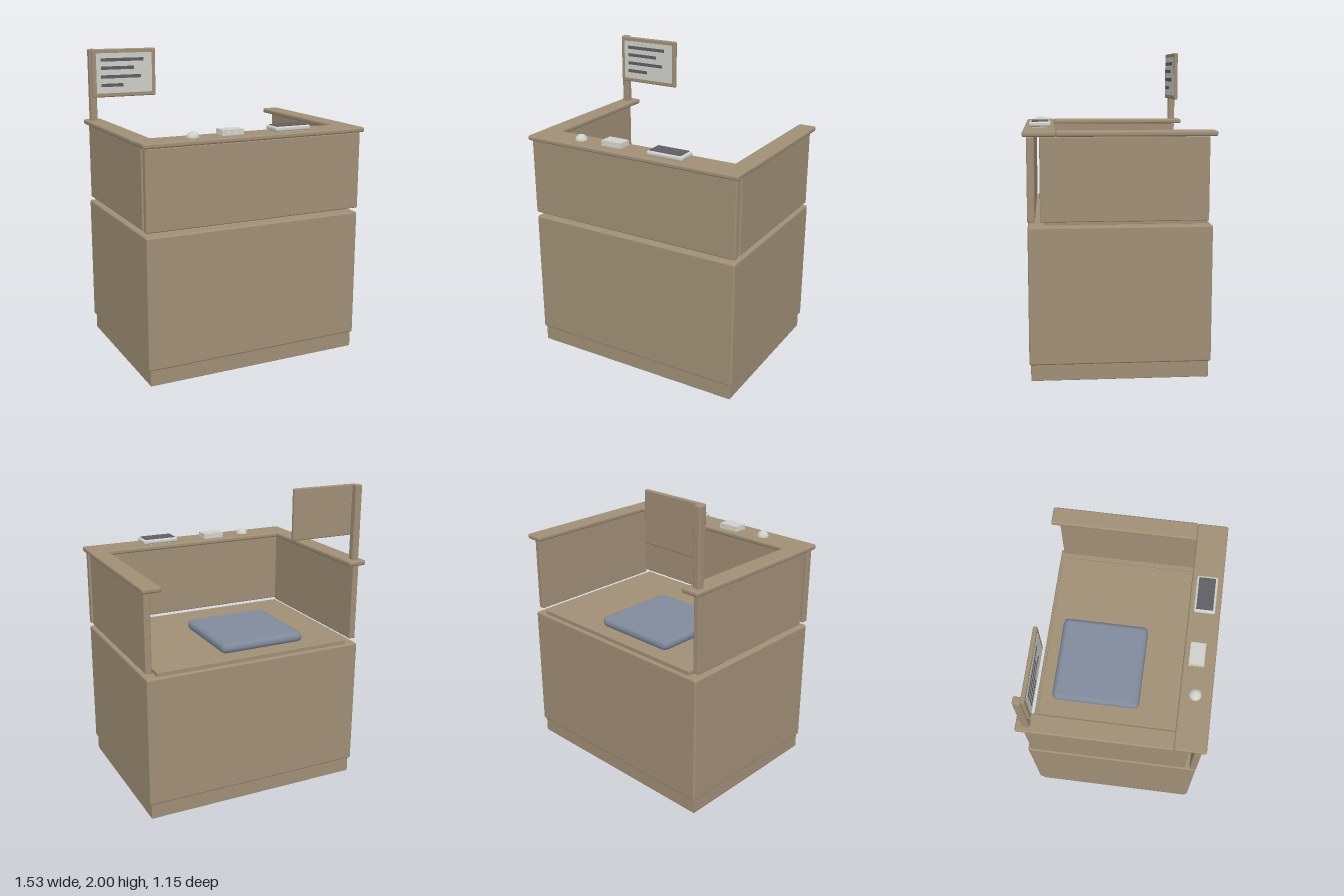
import * as THREE from 'three';
import { RoundedBoxGeometry } from 'three/addons/geometries/RoundedBoxGeometry.js';

const mat = (name, color) => {
  const m = new THREE.MeshStandardMaterial({ color });
  m.name = name;
  return m;
};

export function createModel() {
  const model = new THREE.Group();
  model.name = 'receptionBooth';

  const wood = mat('tanWood', 0xa08f76);
  const paper = mat('offWhite', 0xd0d0ca);
  const dark = mat('darkGrey', 0x5f5e63);
  const blue = mat('greyBlue', 0x818b9d);

  // Box given by its limits on each axis; r > 0 softens the edges
  const block = (name, material, [x0, x1], [y0, y1], [z0, z1], r = 0, seg = 2, parent = model) => {
    const w = x1 - x0, h = y1 - y0, d = z1 - z0;
    const geo = r > 0 ? new RoundedBoxGeometry(w, h, d, seg, r) : new THREE.BoxGeometry(w, h, d);
    const mesh = new THREE.Mesh(geo, material);
    mesh.position.set((x0 + x1) / 2, (y0 + y1) / 2, (z0 + z1) / 2);
    mesh.name = name;
    parent.add(mesh);
    return mesh;
  };

  // Open plinth made of four thin boards
  const plinth = new THREE.Group();
  plinth.name = 'plinth';
  model.add(plinth);
  block('plinthFront', wood, [-0.732, 0.732], [0, 0.104], [0.52, 0.54], 0.004, 1, plinth);
  block('plinthBack', wood, [-0.732, 0.732], [0, 0.104], [-0.547, -0.527], 0.004, 1, plinth);
  for (const s of [-1, 1]) {
    const x = [s * 0.712, s * 0.732].sort((a, b) => a - b);
    block('plinthSide', wood, x, [0, 0.104], [-0.545, 0.538], 0.004, 1, plinth);
  }

  // Main body and raised work surface
  block('body', wood, [-0.745, 0.745], [0.102, 0.952], [-0.562, 0.55], 0.012);
  block('workSurface', wood, [-0.67, 0.67], [0.948, 0.98], [-0.538, 0.452], 0.006);

  // Upper walls with a narrow gap at the front corners
  block('frontPanel', wood, [-0.745, 0.745], [0.98, 1.486], [0.505, 0.551], 0.008);
  for (const s of [-1, 1]) {
    const wall = [s * 0.7, s * 0.742].sort((a, b) => a - b);
    const cap = [s * 0.643, s * 0.765].sort((a, b) => a - b);
    block('sidePanel', wood, wall, [0.98, 1.486], [-0.537, 0.475], 0.006);
    block('sideLedge', wood, cap, [1.487, 1.52], [-0.58, 0.378], 0.012);
  }
  block('frontLedge', wood, [-0.762, 0.762], [1.487, 1.52], [0.376, 0.575], 0.012);

  // Seat cushion lying on the work surface
  block('cushion', blue, [-0.395, 0.19], [0.978, 1.048], [-0.455, 0.13], 0.0345, 1);

  // Sign on a post
  const sign = new THREE.Group();
  sign.name = 'sign';
  model.add(sign);
  block('signPost', wood, [-0.737, -0.69], [1.515, 2], [-0.538, -0.491], 0.008, 2, sign);
  block('signBoard', wood, [-0.725, -0.27], [1.675, 2], [-0.495, -0.469], 0.008, 2, sign);
  block('signSheet', paper, [-0.697, -0.298], [1.702, 1.972], [-0.471, -0.467], 0, 1, sign);
  [[-0.36, 1.927], [-0.43, 1.872], [-0.38, 1.813], [-0.508, 1.756]].forEach(([end, y]) =>
    block('signStripe', dark, [-0.665, end], [y - 0.011, y + 0.011], [-0.468, -0.465], 0, 1, sign));

  // Desk bell
  const bell = new THREE.Mesh(new THREE.SphereGeometry(0.04, 24, 10, 0, Math.PI * 2, 0, Math.PI / 2), paper);
  bell.name = 'bell';
  bell.position.set(-0.407, 1.517, 0.47);
  model.add(bell);

  // Slightly uneven stack of leaflets
  [0.012, -0.015, 0.02, -0.01].forEach((turn, i) => {
    const y = 1.52 + i * 0.009;
    block('leaflet', paper, [-0.226, -0.082], [y, y + 0.0075], [0.411, 0.504]).rotation.y = turn;
  });

  // Tablet
  block('tablet', paper, [0.125, 0.375], [1.524, 1.555], [0.404, 0.54], 0.012);
  block('tabletFoot', paper, [0.15, 0.35], [1.518, 1.526], [0.425, 0.52]);
  block('tabletScreen', dark, [0.14, 0.358], [1.553, 1.559], [0.419, 0.525]);

  return model;
}
